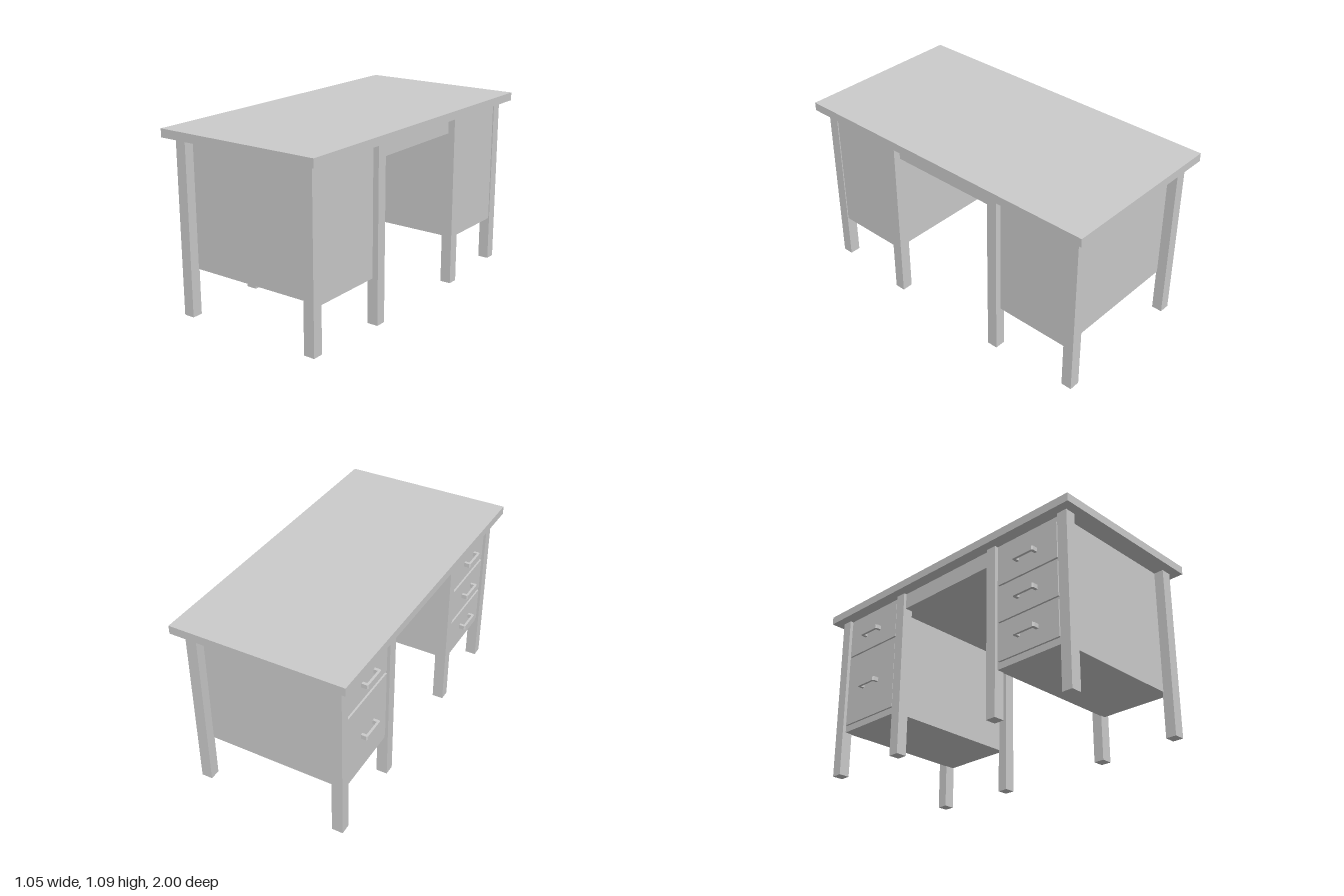
import * as THREE from 'three';

const material = new THREE.MeshStandardMaterial({ color: 0xcccccc, flatShading: true });

// Box given by its min and max on each axis
function box(name, [x0, x1], [y0, y1], [z0, z1]) {
  const mesh = new THREE.Mesh(new THREE.BoxGeometry(x1 - x0, y1 - y0, z1 - z0), material);
  mesh.name = name;
  mesh.position.set((x0 + x1) / 2, (y0 + y1) / 2, (z0 + z1) / 2);
  return mesh;
}

// U-shaped pull with bevelled corners, standing out towards -x
function handleGeometry() {
  const w = 0.075, t = 0.018, reach = 0.04, bevel = 0.008;
  const shape = new THREE.Shape([
    [-w, 0], [-w, reach - bevel], [-w + bevel, reach],
    [w - bevel, reach], [w, reach - bevel], [w, 0],
    [w - t, 0], [w - t, reach - t * 0.8], [-w + t, reach - t * 0.8], [-w + t, 0],
  ].map(([a, b]) => new THREE.Vector2(a, b)));
  const height = 0.026;
  const geo = new THREE.ExtrudeGeometry(shape, { depth: height, bevelEnabled: false });
  geo.translate(0, 0, -height / 2);
  geo.rotateX(-Math.PI / 2); // height upwards, reach to -z
  geo.rotateY(Math.PI / 2); // reach to -x
  return geo;
}

export function createModel() {
  const desk = new THREE.Group();
  desk.name = 'desk';

  const topY = 1.04, bottomY = 0.275;
  desk.add(box('desktop', [-0.523, 0.523], [topY, 1.09], [-1, 1]));

  // Shallow centre drawer box over the kneehole
  desk.add(box('centreDrawer', [-0.452, 0.455], [0.94, topY], [-0.415, 0.415]));

  const handle = handleGeometry();
  // Drawer fronts as [bottom, top, handle height] for each pedestal
  const pedestals = [
    { side: 1, drawers: [[0.315, 0.53, 0.423], [0.55, 0.76, 0.655], [0.78, 1.0, 0.885]] },
    { side: -1, drawers: [[0.315, 0.76, 0.533], [0.78, 1.0, 0.885]] },
  ];

  for (const { side, drawers } of pedestals) {
    const pedestal = new THREE.Group();
    pedestal.name = side > 0 ? 'threeDrawerPedestal' : 'twoDrawerPedestal';
    const span = (a, b) => (side > 0 ? [a, b] : [-b, -a]);

    pedestal.add(box('carcass', [-0.448, 0.462], [bottomY, topY], span(0.415, 0.885)));

    // Outer legs, and inner legs that stand proud on the plain side
    for (const [z0, z1, xBack] of [[0.88, 0.945, 0.468], [0.355, 0.42, 0.497]]) {
      pedestal.add(box('drawerSideLeg', [-0.47, -0.403], [0, topY], span(z0, z1)));
      pedestal.add(box('plainSideLeg', [xBack - 0.067, xBack], [0, topY], span(z0, z1)));
    }

    for (const [y0, y1, handleY] of drawers) {
      pedestal.add(box('drawerFront', [-0.46, -0.44], [y0, y1], span(0.435, 0.865)));
      const pull = new THREE.Mesh(handle, material);
      pull.name = 'drawerHandle';
      pull.position.set(-0.46, handleY, side * 0.65);
      pedestal.add(pull);
    }
    desk.add(pedestal);
  }
  return desk;
}
